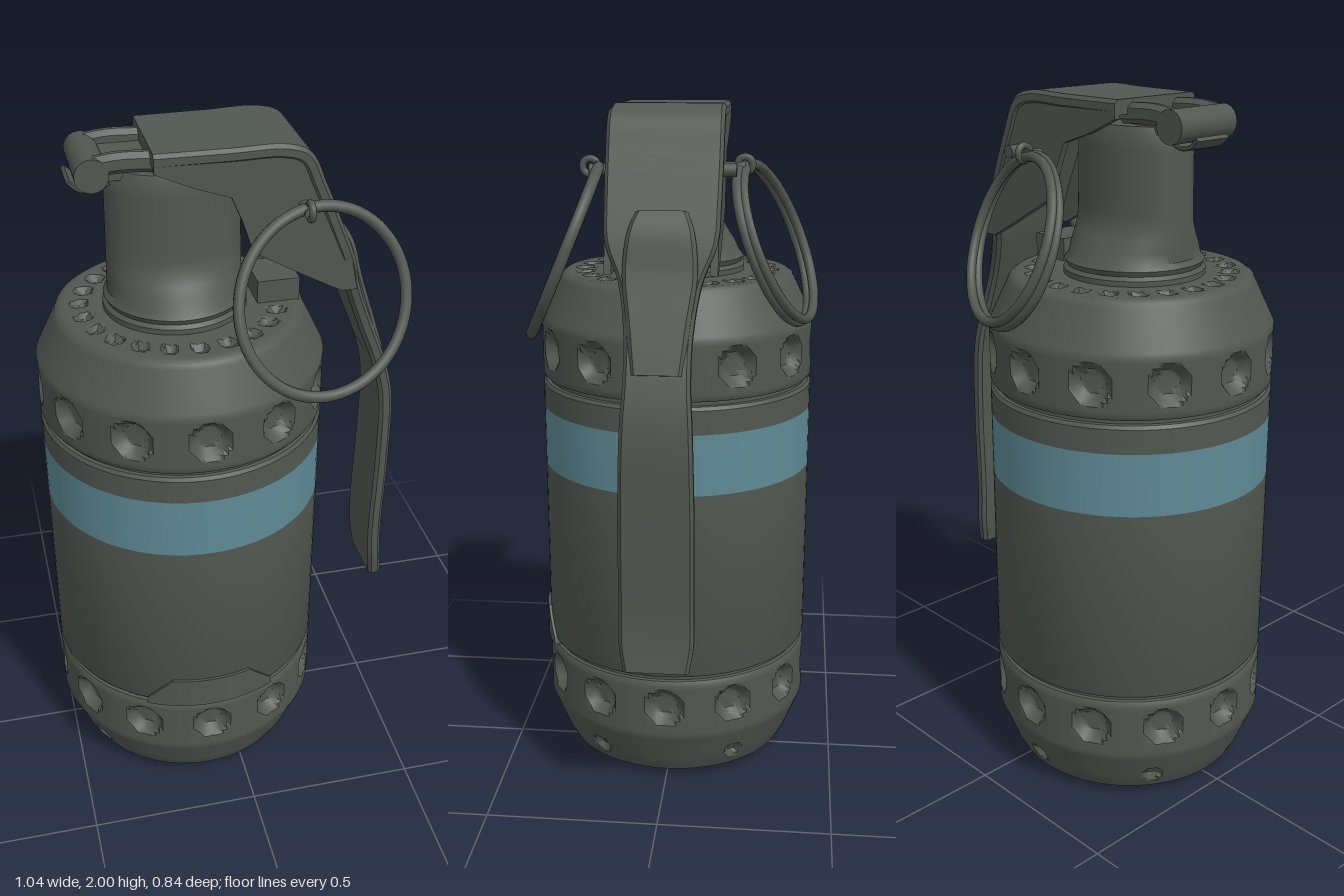
import * as THREE from 'three';
import { toCreasedNormals } from 'three/addons/utils/BufferGeometryUtils.js';

const AXIS = -0.113; // x of the canister axis
const V = (x, y, z) => new THREE.Vector3(x, y, z);

const darkMetal = new THREE.MeshStandardMaterial({ color: 0x515751 });
darkMetal.name = 'dark metal';
const bandBlue = new THREE.MeshStandardMaterial({ color: 0x5f8a96 });
bandBlue.name = 'blue band';

export function createModel() {
  const model = new THREE.Group();

  const add = (name, geometry, material = darkMetal) => {
    const mesh = new THREE.Mesh(geometry, material);
    mesh.name = name;
    model.add(mesh);
    return mesh;
  };
  const crease = (g) => toCreasedNormals(g, 0.6);

  // Turned part; a step resamples the profile finely so dents can be pressed in
  const turned = (profile, { step = 0, segments = 96, dents = [] } = {}) => {
    let pts = profile.map(([r, y]) => new THREE.Vector2(r, y));
    if (step) {
      pts = pts.flatMap((p, i) => {
        if (i === pts.length - 1) return [p];
        const n = Math.max(1, Math.round(p.distanceTo(pts[i + 1]) / step));
        return Array.from({ length: n }, (_, k) => p.clone().lerp(pts[i + 1], k / n));
      });
    }
    const g = new THREE.LatheGeometry(pts, segments);
    const pos = g.attributes.position;
    const p = V(0, 0, 0);
    for (let i = 0; dents.length && i < pos.count; i++) {
      p.fromBufferAttribute(pos, i);
      for (const d of dents) {
        const k = p.distanceTo(d.center) / d.radius;
        if (k < 1) {
          p.addScaledVector(d.push, d.depth * Math.min(1, 1.5 * (1 - k * k)));
          break;
        }
      }
      pos.setXYZ(i, p.x, p.y, p.z);
    }
    return crease(g).translate(AXIS, 0, 0);
  };

  // Dents spread round the axis, pressed inward or downward
  const dent = (deg, r, y, radius, depth, down = false) => {
    const a = THREE.MathUtils.degToRad(deg);
    const out = V(Math.sin(a), 0, Math.cos(a));
    return { center: out.clone().multiplyScalar(r).setY(y), radius, depth,
      push: down ? V(0, -1, 0) : out.clone().negate() };
  };
  const dentRing = (count, ...rest) =>
    Array.from({ length: count }, (_, i) => dent((i * 360) / count, ...rest));

  // Bar swept along [x, y, halfWidth] points, with a chamfered section
  const sweep = (path, thickness, samples = 48) => {
    const curve = new THREE.CatmullRomCurve3(path.map((p) => V(...p)), false, 'centripetal');
    const c = curve.getPoints(samples);
    const h = thickness / 2, e = thickness * 0.25;
    const verts = [], idx = [];
    c.forEach((p, i) => {
      const a = c[Math.max(0, i - 1)], b = c[Math.min(samples, i + 1)];
      const len = Math.hypot(b.x - a.x, b.y - a.y);
      const nx = -(b.y - a.y) / len, ny = (b.x - a.x) / len, w = p.z;
      const section = [[h, -w + e], [h, w - e], [h - e, w], [e - h, w],
        [-h, w - e], [-h, -w + e], [e - h, -w], [h - e, -w]];
      for (const [n, z] of section) verts.push(p.x + nx * n, p.y + ny * n, z);
    });
    for (let i = 0; i < samples; i++) {
      for (let j = 0; j < 8; j++) {
        const a = i * 8 + j, b = i * 8 + ((j + 1) % 8);
        idx.push(a, b, a + 8, b, b + 8, a + 8);
      }
    }
    const end = samples * 8;
    for (let j = 1; j < 7; j++) idx.push(0, j + 1, j, end, end + j, end + j + 1);
    const g = new THREE.BufferGeometry();
    g.setAttribute('position', new THREE.Float32BufferAttribute(verts, 3));
    g.setIndex(idx);
    return crease(g);
  };

  const rod = (r, length, x, y, z) =>
    new THREE.CylinderGeometry(r, r, length, 20).rotateX(Math.PI / 2).translate(x, y, z);
  const box = (w, h, d, x, y, z) => new THREE.BoxGeometry(w, h, d).translate(x, y, z);

  // Canister
  add('lowerCap', turned(
    [[0.001, 0], [0.305, 0], [0.31, 0.015], [0.345, 0.022], [0.365, 0.06], [0.407, 0.165],
      [0.407, 0.335], [0.4, 0.347], [0.385, 0.35]],
    { step: 0.013, segments: 216, dents: [
      ...dentRing(12, 0.407, 0.26, 0.057, 0.035),
      ...[57, 123, 180, 237, 303].map((d) => dent(d, 0.373, 0.08, 0.028, 0.02)),
    ] }));
  add('lowerGroove', turned([[0.39, 0.34], [0.39, 0.37]]));
  add('sleeve', turned([[0.385, 0.36], [0.402, 0.363], [0.407, 0.372], [0.407, 0.93]]));
  add('colourBand', turned([[0.407, 0.93], [0.407, 1.11]]), bandBlue);
  add('sleeveTop', turned([[0.407, 1.11], [0.407, 1.18], [0.4, 1.19], [0.385, 1.192]]));
  add('upperGroove', turned([[0.39, 1.185], [0.39, 1.215]]));
  add('upperCap', turned(
    [[0.385, 1.203], [0.402, 1.205], [0.407, 1.213], [0.407, 1.375], [0.345, 1.505],
      [0.33, 1.515], [0.15, 1.515]],
    { step: 0.013, segments: 216, dents: [
      ...dentRing(12, 0.407, 1.3, 0.057, 0.035),
      ...dentRing(22, 0.275, 1.515, 0.024, 0.02, true),
    ] }));

  // Raised tab bent round the front of the sleeve
  const tab = new THREE.BoxGeometry(1, 0.1, 0.03, 20, 4, 1);
  const tp = tab.attributes.position;
  for (let i = 0; i < tp.count; i++) {
    const t = (tp.getY(i) + 0.05) / 0.1;
    const a = tp.getX(i) * (0.98 - 0.4 * Math.max(0, (t - 0.2) / 0.8));
    const r = 0.4 + tp.getZ(i);
    tp.setXYZ(i, AXIS + r * Math.sin(a), 0.352 + t * 0.1, r * Math.cos(a));
  }
  add('frontTab', crease(tab));

  // Neck, flattened sideways near its top
  const neck = turned([[0.2, 1.51], [0.2, 1.53], [0.19, 1.54], [0.197, 1.555], [0.186, 1.57],
    [0.186, 1.66], [0.185, 1.72], [0.183, 1.9], [0.17, 1.93], [0.001, 1.93]], { step: 0.03 });
  const np = neck.attributes.position;
  for (let i = 0; i < np.count; i++) {
    const k = THREE.MathUtils.smoothstep(np.getY(i), 1.56, 1.68);
    np.setZ(i, np.getZ(i) * (1 - 0.3 * k));
  }
  add('neck', crease(neck)).position.x = -0.012;
  add('safetyBlock', box(0.12, 0.07, 0.14, 0.155, 1.545, 0));

  // Hinge
  add('hingePin', rod(0.045, 0.21, -0.35, 1.94, 0));
  for (const s of [-1, 1]) {
    add('hingeArm', sweep([[-0.36, 1.955, 0.02], [-0.28, 1.965, 0.02], [-0.17, 1.96, 0.02]], 0.055, 12))
      .position.z = s * 0.085;
  }
  add('hingeTongue', box(0.14, 0.05, 0.14, -0.255, 1.935, 0));
  add('hingeHook', sweep([[-0.405, 1.91, 0.06], [-0.38, 1.888, 0.06], [-0.345, 1.882, 0.06],
    [-0.3, 1.9, 0.06]], 0.012, 14));

  // Lever: wide head bending down into a narrow handle
  add('lever', sweep([[-0.2, 1.98, 0.152], [0, 1.98, 0.155], [0.14, 1.98, 0.157], [0.195, 1.96, 0.158],
    [0.235, 1.88, 0.158], [0.29, 1.75, 0.156], [0.33, 1.65, 0.15], [0.36, 1.55, 0.112],
    [0.41, 1.42, 0.092], [0.457, 1.3, 0.09], [0.487, 1.18, 0.097], [0.492, 0.95, 0.103],
    [0.487, 0.68, 0.104], [0.492, 0.57, 0.104], [0.503, 0.49, 0.092]], 0.04, 80));
  add('leverRib', sweep([[0.31, 1.725, 0.07], [0.34, 1.675, 0.09], [0.368, 1.57, 0.1],
    [0.41, 1.45, 0.085], [0.455, 1.32, 0.07]], 0.045, 24));

  // Folded side plates of the lever head
  const side = new THREE.Shape([[-0.2, 1.985], [-0.2, 1.95], [-0.1, 1.905], [0, 1.87], [0.03, 1.8],
    [0.06, 1.71], [0.2, 1.63], [0.31, 1.57], [0.355, 1.57], [0.34, 1.64], [0.3, 1.75], [0.24, 1.89],
    [0.2, 1.965], [0.14, 1.985]].map((p) => new THREE.Vector2(...p)));
  for (const z of [-0.152, 0.132]) {
    add('leverSidePlate', new THREE.ExtrudeGeometry(side, { depth: 0.02, bevelEnabled: false }))
      .position.z = z;
  }

  // Pull rings, hung at a slant from pins
  const ring = (name, center, u, v, r) => {
    const pts = Array.from({ length: 24 }, (_, i) => {
      const a = (i / 24) * Math.PI * 2;
      return center.clone().addScaledVector(u, Math.cos(a)).addScaledVector(v, Math.sin(a));
    });
    add(name, new THREE.TubeGeometry(new THREE.CatmullRomCurve3(pts, true), 72, r, 10, true));
  };
  ring('frontRing', V(0.22, 1.61, 0.28), V(0.237, 0, -0.03), V(0, -0.228, 0.098), 0.016);
  ring('backRing', V(0.045, 1.615, -0.29), V(0.21, 0, 0.055), V(0, -0.222, -0.085), 0.014);
  ring('backRingCoil', V(0.05, 1.62, -0.308), V(0.205, 0, 0.055), V(0.01, -0.215, -0.085), 0.014);

  for (const [x, s] of [[0.195, 1], [0.1, -1]]) {
    add('ringPin', rod(0.016, 0.08, x, 1.83, s * 0.17));
    add('ringEye', new THREE.TorusGeometry(0.021, 0.01, 8, 20).rotateY(Math.PI / 2)
      .translate(x, 1.838, s * 0.208));
  }
  add('pinStop', rod(0.018, 0.06, 0.19, 1.83, -0.16));

  return model;
}
